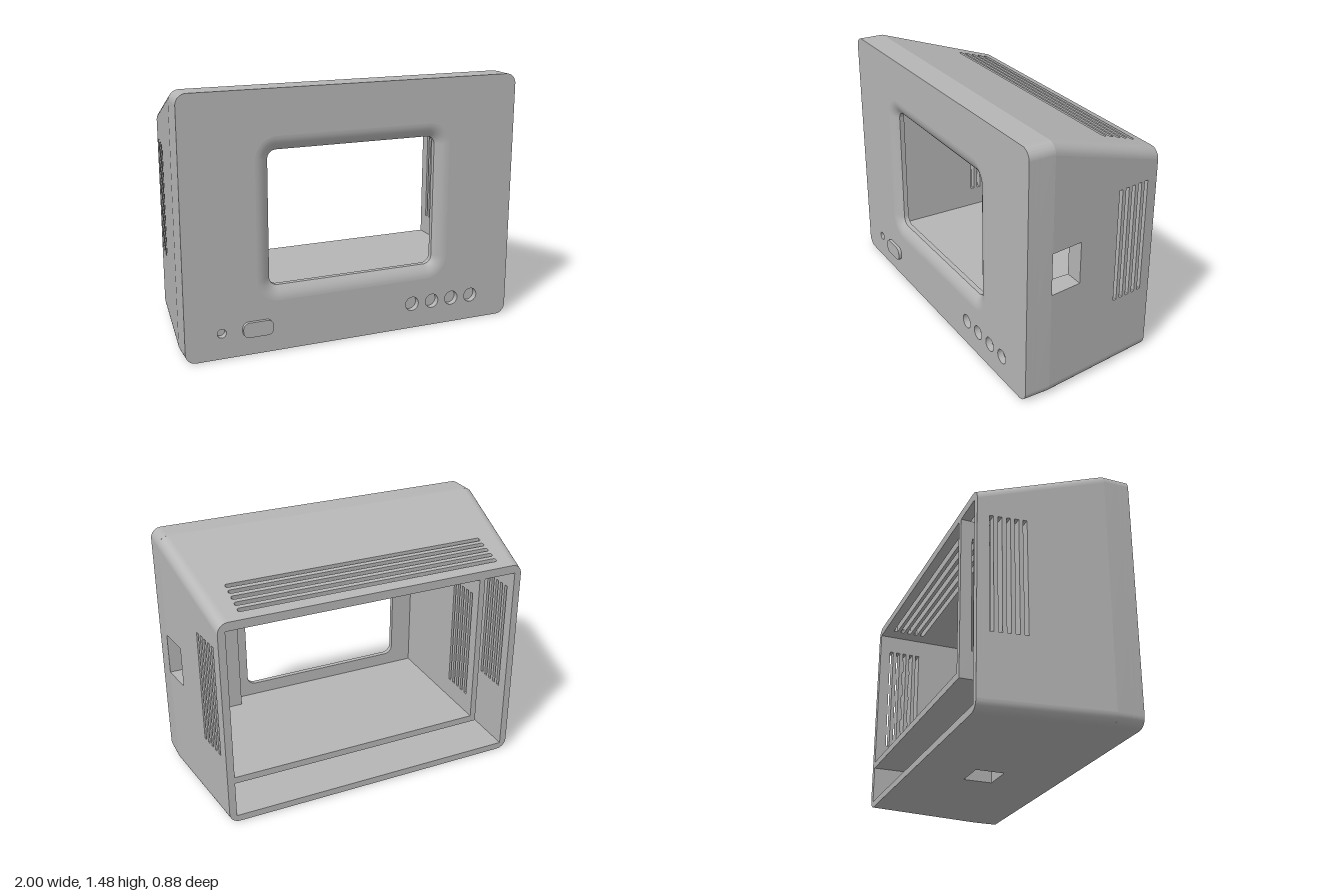
import * as THREE from 'three';
import { toCreasedNormals } from 'three/addons/utils/BufferGeometryUtils.js';

// Main dimensions
const FRONT = 0.42, BEND = 0.27, BACK = -0.44, R = 0.06;
const IN_X = 0.868, FLOOR = 0.04, CEIL = 1.2, SHELF0 = 0.26, SHELF1 = 0.3;
const DIV0 = -0.67, DIV1 = -0.635, BAY_Z = 0.355, LIP_Z = 0.384;
const HOLE = [-0.505, 0.5, 0.375, 1.14];

// Outer half width and height of the tapering rear housing
const taper = (z) => (BEND - z) / (BEND - BACK);
const halfW = (z) => 1 - 0.09 * taper(z);
const topY = (z) => 1.475 - 0.225 * taper(z);

const poly = (pts) => new THREE.Shape(pts.map(([x, y]) => new THREE.Vector2(x, y)));
const rect = (x0, x1, y0, y1) => poly([[x0, y0], [x1, y0], [x1, y1], [x0, y1]]);

function roundRect(x0, x1, y0, y1, r) {
  const s = new THREE.Shape(), q = Math.PI / 2;
  s.moveTo(x1 - r, y0);
  s.absarc(x1 - r, y0 + r, r, -q, 0);
  s.absarc(x1 - r, y1 - r, r, 0, q);
  s.absarc(x0 + r, y1 - r, r, q, 2 * q);
  s.absarc(x0 + r, y0 + r, r, 2 * q, 3 * q);
  return s;
}

function disc(x, y, r) {
  const s = new THREE.Shape();
  s.absarc(x, y, r, 0, Math.PI * 2);
  return s;
}

function extrude(shape, depth, holes = []) {
  shape.holes.push(...holes);
  return new THREE.ExtrudeGeometry(shape, { depth, bevelEnabled: false, curveSegments: 10 });
}

// Move every vertex by a rule
function warp(geo, rule) {
  const p = geo.attributes.position, v = new THREE.Vector3();
  for (let i = 0; i < p.count; i++) {
    rule(v.fromBufferAttribute(p, i));
    p.setXYZ(i, v.x, v.y, v.z);
  }
  return geo;
}

// Mirror across x = 0 and restore the winding
function mirror(geo) {
  const g = geo.index ? geo.toNonIndexed() : geo.clone();
  const p = g.attributes.position, a = new THREE.Vector3(), b = new THREE.Vector3();
  for (let i = 0; i < p.count; i += 3) {
    const k = new THREE.Vector3().fromBufferAttribute(p, i);
    a.fromBufferAttribute(p, i + 1);
    b.fromBufferAttribute(p, i + 2);
    p.setXYZ(i, -k.x, k.y, k.z);
    p.setXYZ(i + 1, -b.x, b.y, b.z);
    p.setXYZ(i + 2, -a.x, a.y, a.z);
  }
  return g;
}

// Skin a row of equal-length rings, optionally closing both ends
function loft(rings, capped) {
  const n = rings[0].length, index = [];
  for (let j = 0; j < rings.length - 1; j++) {
    for (let i = 0; i < n; i++) {
      const a = j * n + i, b = j * n + (i + 1) % n;
      index.push(a, b, b + n, a, b + n, a + n);
    }
  }
  if (capped) {
    const last = (rings.length - 1) * n;
    const cap = (ring) => THREE.ShapeUtils.triangulateShape(ring.map((p) => new THREE.Vector2(p.x, p.y)), []);
    cap(rings[0]).forEach(([a, b, c]) => index.push(a, c, b));
    cap(rings[rings.length - 1]).forEach(([a, b, c]) => index.push(last + a, last + b, last + c));
  }
  const g = new THREE.BufferGeometry().setFromPoints(rings.flat());
  g.setIndex(index);
  return g;
}

// Rounded long edge of the housing at one depth
function edgeRing(z, top) {
  const X = halfW(z), Y = topY(z), cy = top ? Y - R : R, inner = top ? CEIL : FLOOR;
  const pts = [];
  for (let i = 0; i <= 8; i++) {
    const a = (i / 8 - (top ? 0 : 1)) * Math.PI / 2;
    pts.push([X - R + R * Math.cos(a), cy + R * Math.sin(a)]);
  }
  if (top) pts.push([X - R, inner], [IN_X, inner], [IN_X, cy]);
  else pts.push([IN_X, cy], [IN_X, inner], [X - R, inner]);
  return pts.map(([x, y]) => new THREE.Vector3(x, y, z));
}

export function createModel() {
  const group = new THREE.Group();
  const plastic = new THREE.MeshStandardMaterial({ color: 0xb5b5b5 });
  plastic.name = 'grey plastic';
  const add = (name, geo) => {
    const mesh = new THREE.Mesh(toCreasedNormals(geo, 0.5), plastic);
    mesh.name = name;
    group.add(mesh);
  };
  const outline = () => roundRect(-1, 1, 0, 1.475, R);

  // Front frame with the screen bay and the L-shaped lower and side bay
  add('frontFrame', extrude(outline(), BAY_Z - BEND, [
    rect(DIV1, 0.576, SHELF1, CEIL),
    poly([[-IN_X, FLOOR], [IN_X, FLOOR], [IN_X, SHELF0], [DIV0, SHELF0], [DIV0, CEIL], [-IN_X, CEIL]]),
  ]).translate(0, 0, BEND));

  // Bezel: backing layer with the screen opening, then face layer with recesses
  add('bezelBack', extrude(outline(), LIP_Z - BAY_Z, [roundRect(...HOLE, 0.05)]).translate(0, 0, BAY_Z));
  const dishOutline = (m) => roundRect(HOLE[0] - m, HOLE[1] + m, HOLE[2] - m, HOLE[3] + m, 0.05 + m);
  const dials = [0.365, 0.495, 0.625, 0.755].map((x) => disc(x, 0.15, 0.042));
  add('bezelFace', extrude(outline(), FRONT - LIP_Z, [dishOutline(0.08), ...dials, disc(-0.793, 0.15, 0.026)])
    .translate(0, 0, LIP_Z));

  // Curved slope leading into the screen opening
  const dish = [];
  for (let j = 0; j <= 6; j++) {
    const t = j / 6, z = FRONT - (FRONT - LIP_Z) * t * t;
    dish.push(dishOutline(0.08 * (1 - t)).getPoints(10).map((p) => new THREE.Vector3(p.x, p.y, z)));
  }
  add('screenSlope', loft(dish, false));
  add('frontButton', extrude(roundRect(-0.675, -0.5, 0.108, 0.195, 0.035), 0.44 - LIP_Z).translate(0, 0, LIP_Z));

  // Side walls: straight inside, tapering outside, with vent slots
  const slots = () => [0, 1, 2, 3, 4].map((i) => {
    const u = 0.184 + i * 0.045;
    return rect(u - 0.011, u + 0.011, 0.42, 1.09);
  });
  const sideWall = (notch) => warp(
    extrude(poly([[-BEND, R], [-BACK, R], [-BACK, topY(BACK) - R], [-BEND, topY(BEND) - R], ...notch]), 1, slots())
      .rotateY(Math.PI / 2),
    (v) => { v.x = v.x > 0.5 ? halfW(v.z) : IN_X; });
  add('leftWall', sideWall([[-BEND, 0.875], [-0.08, 0.875], [-0.08, 0.63], [-BEND, 0.63]]));
  add('rightWall', mirror(sideWall([])));

  // Sloping roof with long vents, and floor with a square pocket
  const slab = () => {
    const w0 = halfW(BEND) - R, w1 = halfW(BACK) - R;
    return poly([[-w0, -BEND], [w0, -BEND], [w1, -BACK], [-w1, -BACK]]);
  };
  const vents = [0, 1, 2, 3, 4].map((i) => {
    const v = 0.187 + i * 0.046;
    return roundRect(-0.78, 0.775, v - 0.0125, v + 0.0125, 0.012);
  });
  add('roof', warp(extrude(slab(), 1, vents).rotateX(-Math.PI / 2),
    (v) => { v.y = v.y > 0.5 ? topY(v.z) : CEIL; }));
  const pocket = () => rect(-0.075, 0.115, -0.055, 0.115);
  add('floor', extrude(slab(), FLOOR, [pocket()]).rotateX(-Math.PI / 2));
  add('pocketWalls', extrude(rect(-0.14, 0.18, -0.12, 0.12), 0.08, [pocket()])
    .rotateX(-Math.PI / 2).translate(0, FLOOR, 0));
  add('pocketLid', new THREE.BoxGeometry(0.32, 0.02, 0.24).translate(0.02, 0.13, 0));

  // Rounded long edges
  for (const top of [false, true]) {
    const edge = loft([edgeRing(BACK, top), edgeRing(BEND, top)], true);
    add(top ? 'leftTopEdge' : 'leftBottomEdge', edge);
    add(top ? 'rightTopEdge' : 'rightBottomEdge', mirror(edge));
  }

  // Inner shelf and slotted divider
  add('shelf', new THREE.BoxGeometry(IN_X - DIV0, SHELF1 - SHELF0, BEND - BACK)
    .translate((IN_X + DIV0) / 2, (SHELF0 + SHELF1) / 2, (BEND + BACK) / 2));
  add('divider', extrude(rect(-BEND, -BACK, SHELF0, CEIL), DIV1 - DIV0, slots())
    .rotateY(Math.PI / 2).translate(DIV0, 0, 0));

  return group;
}
